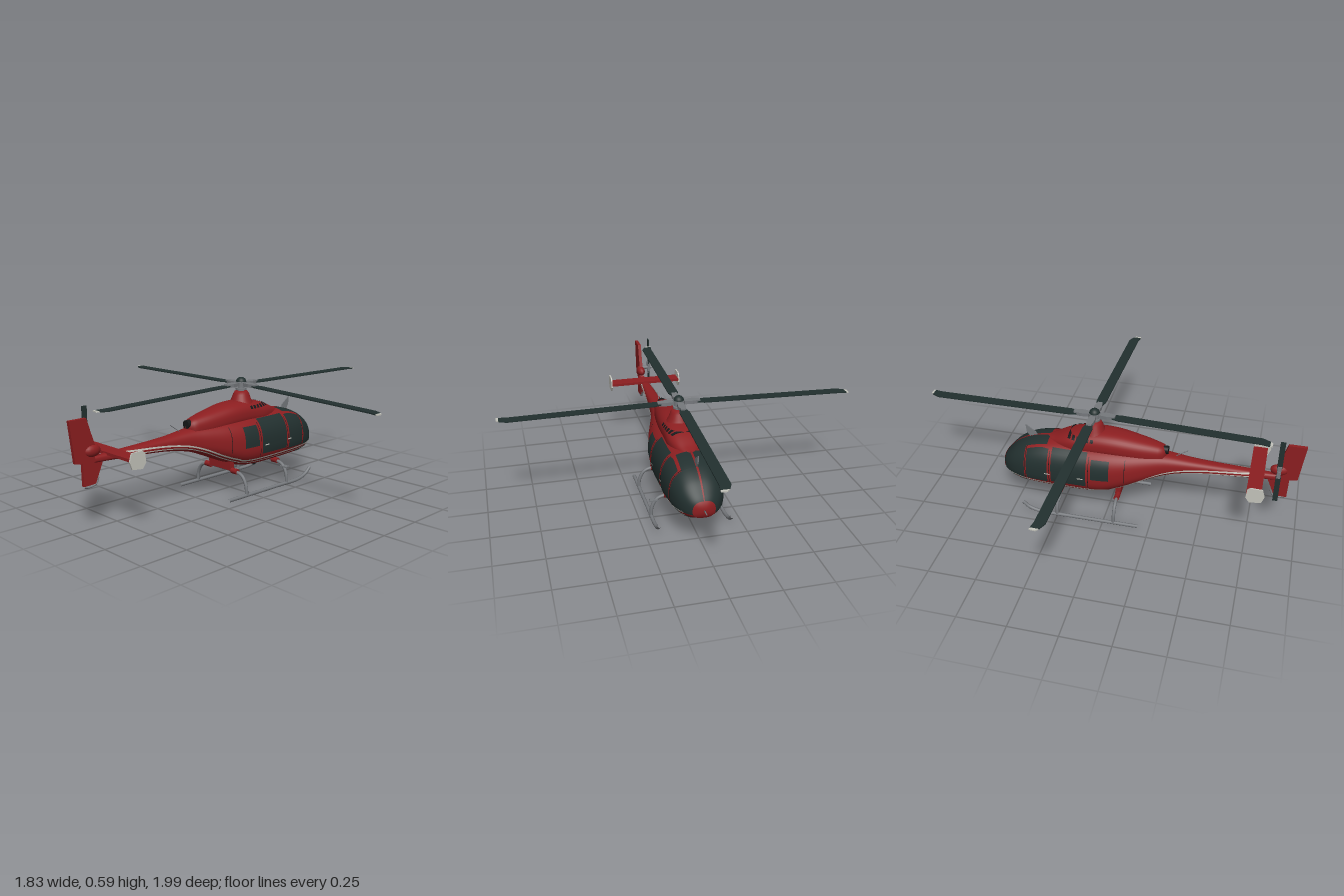
import * as THREE from 'three';
import { mergeVertices } from 'three/addons/utils/BufferGeometryUtils.js';

const mat = (name, color) => {
  const m = new THREE.MeshStandardMaterial({ color });
  m.name = name;
  return m;
};

// Lofted hull: stations are [z, halfWidth, top, bottom], interpolated over sqrt(distance from nose)
function hull(stations) {
  const z0 = stations[0][0];
  const S = stations.map(p => Math.sqrt(p[0] - z0));
  const last = S.length - 1;
  const slope = (i, c) => {
    const a = Math.max(i - 1, 0), b = Math.min(i + 1, last);
    return (stations[b][c] - stations[a][c]) / (S[b] - S[a]);
  };
  const value = (s, c) => {
    let i = 0;
    while (i < last - 1 && s > S[i + 1]) i++;
    const d = S[i + 1] - S[i], u = (s - S[i]) / d, u2 = u * u, u3 = u2 * u;
    return (2 * u3 - 3 * u2 + 1) * stations[i][c] + (u3 - 2 * u2 + u) * d * slope(i, c)
      + (3 * u2 - 2 * u3) * stations[i + 1][c] + (u3 - u2) * d * slope(i + 1, c);
  };
  const sOf = z => Math.sqrt(Math.max(0, z - z0));
  const frame = s => {
    const w = Math.max(0, value(s, 1)), top = value(s, 2), bot = value(s, 3);
    const yc = bot + 0.43 * (top - bot);
    return { w, yc, up: top - yc, down: yc - bot };
  };
  const pw = (v, e) => Math.sign(v) * Math.pow(Math.abs(v), e);
  const clampAsin = v => Math.asin(Math.max(-1, Math.min(1, v)));
  return {
    // angle at which the section at z reaches height y, or half width x (upper half)
    atY(z, y) {
      const f = frame(sOf(z)), d = y - f.yc;
      return clampAsin(pw(d / Math.max(1e-5, d > 0 ? f.up : f.down), 1.25));
    },
    atX(z, x) {
      const f = frame(sOf(z));
      return Math.PI / 2 - clampAsin(pw(x / Math.max(1e-5, f.w), 1.25));
    },
    // surface between z limits and angle limits, raised by off
    patch(za, zb, lo, hi, nz, nt, off = 0) {
      const pos = [], idx = [], sa = sOf(za), sb = sOf(zb);
      for (let i = 0; i <= nz; i++) {
        const s = sa + (sb - sa) * i / nz, z = z0 + s * s, f = frame(s);
        const a = lo(z), b = hi(z);
        for (let j = 0; j <= nt; j++) {
          const t = a + (b - a) * j / nt, sn = Math.sin(t);
          pos.push(pw(Math.cos(t), 0.8) * (f.w + off),
            f.yc + pw(sn, 0.8) * ((sn > 0 ? f.up : f.down) + off),
            z - off * Math.max(0, 1 - s / 0.2));
          if (i < nz && j < nt) {
            const k = i * (nt + 1) + j, n = k + nt + 1;
            idx.push(k, k + 1, n, k + 1, n + 1, n);
          }
        }
      }
      let g = new THREE.BufferGeometry();
      g.setAttribute('position', new THREE.Float32BufferAttribute(pos, 3));
      g.setIndex(idx);
      g = mergeVertices(g, 1e-5);
      g.computeVertexNormals();
      return g;
    }
  };
}

// Flat part from a (z, y) outline, thin along x
function plate(points, t) {
  const g = new THREE.ExtrudeGeometry(new THREE.Shape(points.map(p => new THREE.Vector2(...p))),
    { depth: t, bevelEnabled: false });
  return g.translate(0, 0, -t / 2).rotateY(-Math.PI / 2);
}

const tube = (pts, r, n = 32) => new THREE.TubeGeometry(
  new THREE.CatmullRomCurve3(pts.map(p => new THREE.Vector3(...p))), n, r, 10);

export function createModel() {
  const model = new THREE.Group();
  model.name = 'helicopter';
  const red = mat('red paint', 0x8c1e20), glass = mat('dark glass', 0x22302f);
  const grey = mat('grey metal', 0x76797d), pale = mat('pale grey', 0xc4c4bc);
  const black = mat('black', 0x151819);
  glass.side = pale.side = black.side = THREE.DoubleSide;
  const add = (name, g, m, x = 0, y = 0, z = 0, parent = model) => {
    const o = new THREE.Mesh(g, m);
    o.name = name;
    o.position.set(x, y, z);
    parent.add(o);
    return o;
  };
  const P = Math.PI, ring = [() => -P / 2, () => 1.5 * P];

  // Fuselage and tail boom
  const body = hull([[-0.588, 0, 0.205, 0.205], [-0.575, 0.055, 0.25, 0.165], [-0.55, 0.085, 0.283, 0.148],
    [-0.5, 0.115, 0.33, 0.132], [-0.42, 0.137, 0.37, 0.122], [-0.3, 0.147, 0.392, 0.118],
    [-0.1, 0.148, 0.395, 0.118], [0, 0.142, 0.395, 0.132], [0.1, 0.122, 0.39, 0.172],
    [0.2, 0.092, 0.383, 0.216], [0.3, 0.063, 0.374, 0.256], [0.45, 0.042, 0.358, 0.286],
    [0.7, 0.028, 0.348, 0.304], [0.87, 0.018, 0.345, 0.312]]);
  add('fuselage', body.patch(-0.588, 0.87, ...ring, 90, 64), red);

  // Engine cowling on the roof
  const cowl = hull([[-0.345, 0, 0.385, 0.37], [-0.3, 0.05, 0.404, 0.35], [-0.2, 0.085, 0.447, 0.34],
    [-0.1, 0.088, 0.468, 0.34], [0.03, 0.086, 0.468, 0.34], [0.166, 0.07, 0.446, 0.33],
    [0.26, 0.05, 0.425, 0.33], [0.295, 0.036, 0.41, 0.34], [0.31, 0, 0.385, 0.36]]);
  add('engineCowling', cowl.patch(-0.345, 0.31, ...ring, 50, 40), red);
  add('exhaust', new THREE.CylinderGeometry(0.022, 0.022, 0.05, 20).rotateX(P / 2), black, 0, 0.396, 0.283);

  // Painted and glazed areas, repeated on both sides
  const both = (name, m, on, za, zb, lo, hi, nz = 14, nt = 10, off = 0.003) => {
    add(name, on.patch(za, zb, lo, hi, nz, nt, off), m);
    add(name, on.patch(za, zb, z => P - hi(z), z => P - lo(z), nz, nt, off), m);
  };
  const y = v => z => body.atY(z, v), crown = () => P / 2;
  both('windscreen', glass, body, -0.588, -0.442, y(0.183), crown, 24, 18);
  both('upperWindscreen', glass, body, -0.442, -0.325, z => body.atX(z, 0.075), crown);
  both('frontDoorWindow', glass, body, -0.43, -0.31, y(0.187),
    z => Math.min(body.atY(z, 0.366), body.atX(z, 0.09)));
  both('rearDoorWindow', glass, body, -0.29, -0.1, y(0.195), y(0.374));
  both('smallWindow', glass, body, -0.075, 0.02, y(0.243), y(0.35));
  both('chinWindow', glass, body, -0.53, -0.435, () => -1.25, () => -0.72);
  add('noseCap', body.patch(-0.588, -0.5765, ...ring, 10, 40, 0.005), red);
  add('windscreenDivider', body.patch(-0.578, -0.325, () => P / 2 - 0.018, () => P / 2 + 0.018, 20, 2, 0.005), red);

  // Door seams and handles
  for (const z of [-0.436, -0.3, -0.088, 0.1])
    both('doorSeam', black, body, z - 0.0015, z + 0.0015, y(z > 0 ? 0.23 : 0.18), y(0.36), 1, 12, 0.002);
  for (const z of [-0.31, -0.13])
    both('doorHandle', pale, body, z - 0.015, z + 0.015, y(0.238), y(0.244), 2, 1, 0.005);

  // Double side stripe sweeping up onto the boom
  const line = [[-0.55, 0.179], [-0.4, 0.171], [-0.03, 0.166], [0.05, 0.182], [0.14, 0.216],
    [0.246, 0.265], [0.35, 0.297], [0.5, 0.317], [0.76, 0.332]];
  const path = new THREE.SplineCurve(line.map(p => new THREE.Vector2(...p))).getPoints(160);
  const stripeY = z => {
    const i = Math.max(1, path.findIndex(p => p.x >= z)), a = path[i - 1], b = path[i];
    return a.y + (b.y - a.y) * (z - a.x) / (b.x - a.x);
  };
  for (const [lo, hi] of [[0.002, 0.01], [-0.011, -0.006]])
    both('sideStripe', pale, body, -0.54, 0.75, z => body.atY(z, stripeY(z) + lo),
      z => body.atY(z, stripeY(z) + hi), 70, 1);

  // Cowling vents
  for (let i = 0; i < 6; i++) {
    const z = -0.215 + i * 0.025;
    both('coolingVent', black, cowl, z, z + 0.016, q => cowl.atY(q, 0.428), q => cowl.atY(q, 0.444), 2, 3);
  }

  // Mast and main rotor
  const mast = [[0.066, 0.45], [0.052, 0.475], [0.043, 0.5], [0.034, 0.515], [0, 0.52]];
  add('mastFairing', new THREE.LatheGeometry(mast.map(p => new THREE.Vector2(...p)).reverse(), 28)
    .scale(1, 1, 1), red, 0, 0, -0.085).material.side = THREE.DoubleSide;
  add('mast', new THREE.CylinderGeometry(0.016, 0.02, 0.06, 16), grey, 0, 0.53, -0.085);
  add('swashplate', new THREE.CylinderGeometry(0.03, 0.03, 0.01, 20), grey, 0, 0.528, -0.085);
  const rotor = new THREE.Group();
  rotor.name = 'mainRotor';
  rotor.position.set(0, 0.554, -0.085);
  model.add(rotor);
  add('hub', new THREE.CylinderGeometry(0.032, 0.032, 0.024, 20), grey, 0, 0, 0, rotor);
  add('hubCap', new THREE.SphereGeometry(0.028, 20, 10, 0, 2 * P, 0, P / 2), glass, 0, 0.008, 0, rotor);
  const flat = (pts, t) => new THREE.ExtrudeGeometry(new THREE.Shape(pts.map(p => new THREE.Vector2(...p))),
    { depth: t, bevelEnabled: false }).translate(0, 0, -t / 2).rotateX(P / 2);
  const bladeShape = flat([[0.09, -0.015], [0.13, -0.026], [0.86, -0.026], [0.9, -0.008],
    [0.9, 0.032], [0.86, 0.026], [0.13, 0.026], [0.09, 0.015]], 0.006);
  const tipShape = flat([[0.9, -0.008], [0.913, 0.004], [0.911, 0.033], [0.9, 0.032]], 0.006);
  const armShape = flat([[0.02, -0.014], [0.07, -0.02], [0.11, -0.013], [0.11, 0.013], [0.07, 0.02], [0.02, 0.014]], 0.018);
  for (let k = 0; k < 4; k++) {
    const arm = new THREE.Group();
    arm.name = 'rotorArm';
    arm.rotation.set(0, k * P / 2 - 0.022, 0);
    rotor.add(arm);
    add('bladeGrip', armShape, grey, 0, 0, 0, arm);
    add('blade', bladeShape, glass, 0, 0, 0, arm).rotation.z = -0.018;
    add('bladeTip', tipShape, pale, 0, 0, 0, arm).rotation.z = -0.018;
  }

  // Tail fin, stabiliser and tail rotor
  add('tailFin', plate([[0.995, 0.527], [0.904, 0.527], [0.88, 0.45], [0.85, 0.36], [0.82, 0.33],
    [0.826, 0.305], [0.866, 0.213], [0.93, 0.21], [0.932, 0.32], [0.972, 0.325]], 0.018), red);
  add('tailGearbox', new THREE.SphereGeometry(0.03, 16, 12).scale(0.8, 1, 1.5), red, 0, 0.37, 0.875);
  add('tailSkid', tube([[0, 0.24, 0.845], [0, 0.21, 0.86], [0, 0.2, 0.9], [0, 0.205, 0.925]], 0.005), grey);
  add('stabiliser', new THREE.BoxGeometry(0.41, 0.014, 0.074), red, 0, 0.345, 0.768);
  for (const s of [-1, 1])
    add('endPlate', plate([[0.735, 0.375], [0.75, 0.387], [0.81, 0.385], [0.822, 0.345], [0.808, 0.308],
      [0.75, 0.302], [0.73, 0.33]], 0.008), pale, s * 0.207);
  add('tailRotorShaft', new THREE.CylinderGeometry(0.009, 0.012, 0.06, 14).rotateZ(P / 2), grey, -0.035, 0.39, 0.875);
  add('tailRotorHub', new THREE.BoxGeometry(0.016, 0.07, 0.02), grey, -0.048, 0.39, 0.875);
  for (const s of [-1, 1])
    add('tailRotorBlade', new THREE.BoxGeometry(0.006, 0.155, 0.026), glass, -0.048, 0.39 + s * 0.103, 0.875);

  // Landing skids, cross tubes and steps
  for (const s of [-1, 1]) {
    const x = s * 0.187;
    add('skid', tube([[x, 0.01, 0.19], [x, 0.01, 0], [x, 0.01, -0.2], [x, 0.011, -0.34],
      [x, 0.03, -0.405], [x, 0.06, -0.44]], 0.0095, 48), grey);
    add('step', new THREE.BoxGeometry(0.045, 0.006, 0.03), grey, s * 0.172, 0.1, -0.25);
    for (const z of [0.06, -0.25])
      add('legFairing', new THREE.CylinderGeometry(0.015, 0.015, 0.04, 12).rotateZ(P / 2), red, s * 0.1, 0.122, z);
  }
  for (const z of [0.06, -0.25])
    add('crossTube', tube([[-0.187, 0.012, z], [-0.182, 0.06, z], [-0.155, 0.105, z], [-0.1, 0.122, z], [0, 0.124, z],
      [0.1, 0.122, z], [0.155, 0.105, z], [0.182, 0.06, z], [0.187, 0.012, z]], 0.009, 64), grey);
  add('rearTubeMount', new THREE.BoxGeometry(0.16, 0.05, 0.03), red, 0, 0.148, 0.06);

  // Wire cutters, antennas and pitot
  add('upperWireCutter', plate([[-0.4, 0.375], [-0.41, 0.395], [-0.465, 0.435], [-0.46, 0.39], [-0.44, 0.36]], 0.006), grey);
  add('lowerWireCutter', plate([[-0.41, 0.125], [-0.46, 0.095], [-0.455, 0.13]], 0.006), black);
  add('bellyAntenna', plate([[-0.17, 0.125], [-0.18, 0.088], [-0.195, 0.088], [-0.215, 0.125]], 0.006), black);
  add('whipAntenna', tube([[0, 0.36, 0.34], [0, 0.385, 0.375], [0, 0.41, 0.41]], 0.002, 4), grey);
  add('pitot', new THREE.CylinderGeometry(0.003, 0.003, 0.05, 8).rotateX(P / 2), grey, 0, 0.203, -0.6);
  return model;
}
